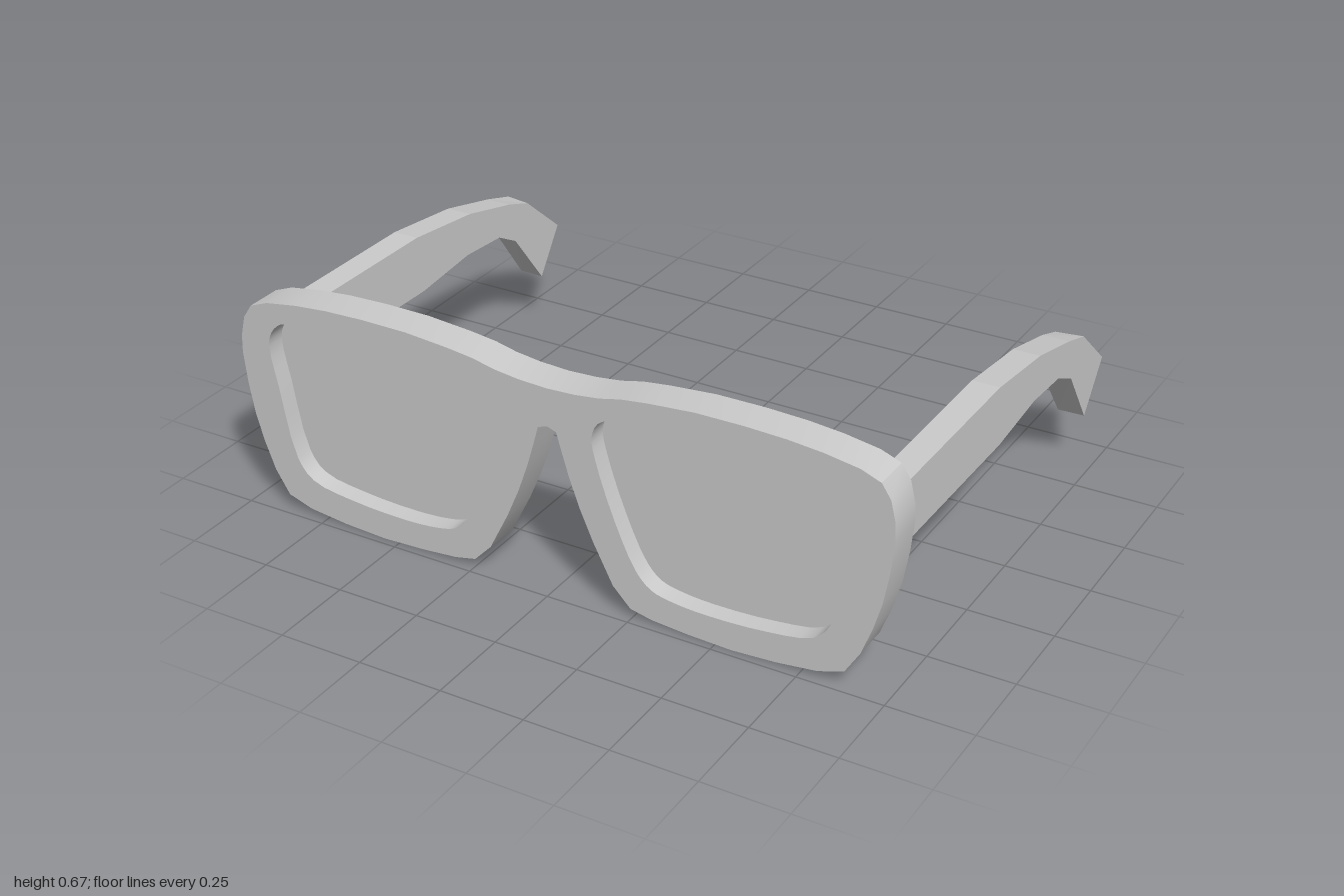
import * as THREE from 'three';
import { toCreasedNormals } from 'three/addons/utils/BufferGeometryUtils.js';

// Half outline of the front frame, from the top centre round to the nose bridge
const RIM = [
  [0, 0.622], [0.086, 0.626], [0.16, 0.635], [0.225, 0.65], [0.305, 0.66], [0.44, 0.671],
  [0.58, 0.672], [0.7, 0.668], [0.8, 0.659], [0.9, 0.643], [0.957, 0.621], [0.984, 0.58],
  [0.998, 0.52], [1, 0.468], [0.99, 0.375], [0.973, 0.28], [0.95, 0.2], [0.918, 0.115],
  [0.875, 0.046], [0.8, 0.021], [0.68, 0.007], [0.55, 0], [0.42, 0.005], [0.31, 0.014],
  [0.246, 0.028], [0.193, 0.083], [0.134, 0.2], [0.095, 0.29], [0.064, 0.377], [0.043, 0.447],
  [0.028, 0.5], [0, 0.51],
];

// Lens opening on the +x side, rounded by a spline
const LENS = [
  [0.893, 0.553], [0.856, 0.589], [0.738, 0.605], [0.55, 0.611], [0.364, 0.604],
  [0.203, 0.583], [0.155, 0.559], [0.136, 0.515], [0.144, 0.457], [0.203, 0.28],
  [0.267, 0.147], [0.31, 0.106], [0.365, 0.091], [0.47, 0.083], [0.658, 0.092],
  [0.786, 0.118], [0.834, 0.174], [0.882, 0.388], [0.904, 0.51],
];

// Temple side profile as [z, y]
const TEMPLE = [
  [0.62, 0.565], [0.043, 0.565], [-0.23, 0.534], [-0.444, 0.482], [-0.557, 0.448],
  [-0.727, 0.305], [-0.616, 0.164], [-0.483, 0.347], [-0.382, 0.394], [-0.21, 0.405],
  [0.023, 0.382], [0.62, 0.386],
];

const BACK = 0.616, FRONT = 0.727;
const toVectors = (points, side = 1) => points.map(([x, y]) => new THREE.Vector2(x * side, y));

function lensOutline(side) {
  const corners = LENS.map(([x, y]) => new THREE.Vector3(x * side, y, 0));
  const points = new THREE.CatmullRomCurve3(corners, true).getPoints(LENS.length * 3);
  return points.slice(0, -1).map((p) => new THREE.Vector2(p.x, p.y));
}

function frameGeometry() {
  // Counter-clockwise: -x half from the top down, then the +x half back up
  const leftHalf = toVectors(RIM).reverse();
  const rightHalf = toVectors(RIM.slice(1, -1), -1);
  const shape = new THREE.Shape([...leftHalf, ...rightHalf]);
  for (const side of [1, -1]) shape.holes.push(new THREE.Path(lensOutline(side)));
  const geo = new THREE.ExtrudeGeometry(shape, { depth: FRONT - BACK, bevelEnabled: false });
  geo.translate(0, 0, BACK);
  return toCreasedNormals(geo, 0.42);
}

function templeGeometry(side) {
  const geo = new THREE.ExtrudeGeometry(new THREE.Shape(toVectors(TEMPLE)), {
    depth: 0.08, bevelEnabled: false,
  });
  geo.rotateY(-Math.PI / 2);
  geo.translate(side > 0 ? 0.97 : -0.89, 0, 0);
  // The ear hook is slightly shorter on its inner face, less so at its lower tip
  const pos = geo.attributes.position;
  for (let i = 0; i < pos.count; i++) {
    if (Math.abs(pos.getX(i)) < 0.93 && pos.getZ(i) < -0.45) {
      pos.setZ(i, pos.getZ(i) + Math.min(0.013, (pos.getY(i) - 0.13) * 0.08));
    }
  }
  geo.computeVertexNormals();
  return geo;
}

export function createModel() {
  const group = new THREE.Group();
  group.name = 'glasses';
  const material = new THREE.MeshStandardMaterial({ color: 0xcccccc });
  const lensMaterial = new THREE.MeshStandardMaterial({ color: 0xcccccc, side: THREE.DoubleSide });

  const add = (name, geometry, mat = material) => {
    const mesh = new THREE.Mesh(geometry, mat);
    mesh.name = name;
    group.add(mesh);
  };

  add('frontFrame', frameGeometry());

  for (const [side, label] of [[1, 'left'], [-1, 'right']]) {
    // Flat lens set halfway through the rim
    const lens = new THREE.ShapeGeometry(new THREE.Shape(lensOutline(side)));
    lens.translate(0, 0, (FRONT + BACK) / 2);
    add(label + 'Lens', lens, lensMaterial);
    add(label + 'Temple', templeGeometry(side));
  }
  return group;
}
